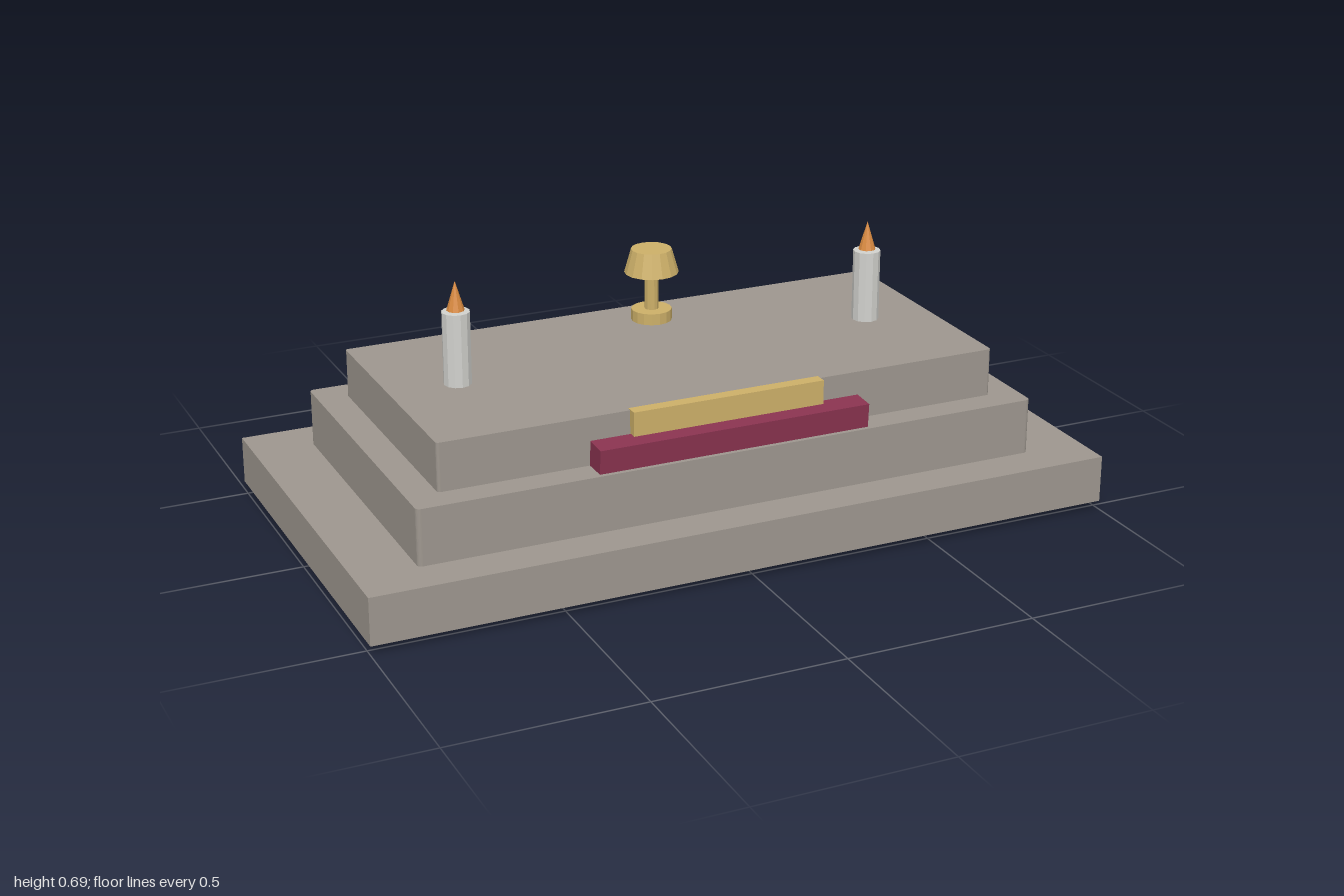
import * as THREE from 'three';

const mat = (name, color, flatShading = false) => {
  const m = new THREE.MeshStandardMaterial({ color });
  m.name = name;
  m.flatShading = flatShading;
  return m;
};

export function createModel() {
  const model = new THREE.Group();
  model.name = 'altar';
  const stone = mat('stone', 0x9e978f);
  const gold = mat('gold', 0xcdb069, true);
  const cloth = mat('crimson cloth', 0x8a3350);
  const wax = mat('wax', 0xd2d2ce, true);
  const fire = mat('flame orange', 0xd98a40, true);

  const add = (name, geometry, material, x, y, z, parent = model) => {
    const mesh = new THREE.Mesh(geometry, material);
    mesh.name = name;
    mesh.position.set(x, y, z);
    parent.add(mesh);
    return mesh;
  };

  // Slab with slightly rounded vertical corners, standing on its origin
  const slab = (w, h, d, r) => {
    const x = w / 2, y = d / 2;
    const s = new THREE.Shape();
    s.absarc(x - r, y - r, r, 0, Math.PI / 2);
    s.absarc(-x + r, y - r, r, Math.PI / 2, Math.PI);
    s.absarc(-x + r, -y + r, r, Math.PI, Math.PI * 1.5);
    s.absarc(x - r, -y + r, r, Math.PI * 1.5, Math.PI * 2);
    return new THREE.ExtrudeGeometry(s, { depth: h, bevelEnabled: false, curveSegments: 3 })
      .rotateX(-Math.PI / 2);
  };

  // Stepped stone body
  add('base', new THREE.BoxGeometry(2, 0.125, 1.055), stone, 0, 0.0875, 0);
  add('middleStep', slab(1.68, 0.148, 0.84, 0.012), stone, 0, 0.15, 0);
  add('topStep', slab(1.52, 0.127, 0.692, 0.008), stone, 0, 0.298, 0);

  // Leaning cloth that runs down through the steps, and the gold plate behind it
  const drape = add('cloth', new THREE.BoxGeometry(0.735, 0.36, 0.062), cloth, 0, 0.183, 0.37);
  drape.rotation.x = 0.062;
  add('goldPlate', new THREE.BoxGeometry(0.52, 0.127, 0.033), gold, 0, 0.3635, 0.352);

  // Candles on both sides
  for (const side of [-1, 1]) {
    const candle = new THREE.Group();
    candle.name = side > 0 ? 'leftCandle' : 'rightCandle';
    candle.position.set(side * 0.578, 0.425, 0);
    add('candleStick', new THREE.CylinderGeometry(0.036, 0.036, 0.191, 12), wax, 0, 0.0955, 0, candle);
    add('flame', new THREE.ConeGeometry(0.023, 0.076, 10), fire, 0, 0.232, 0, candle);
    model.add(candle);
  }

  // Goblet hovering above the top step
  const goblet = new THREE.Group();
  goblet.name = 'goblet';
  goblet.position.set(0, 0, -0.105);
  add('gobletFoot', new THREE.CylinderGeometry(0.053, 0.053, 0.03, 16), gold, 0, 0.49, 0, goblet);
  add('gobletStem', new THREE.CylinderGeometry(0.018, 0.018, 0.1, 12), gold, 0, 0.555, 0, goblet);
  add('gobletCup', new THREE.CylinderGeometry(0.053, 0.071, 0.063, 16), gold, 0, 0.6365, 0, goblet);
  model.add(goblet);

  return model;
}
